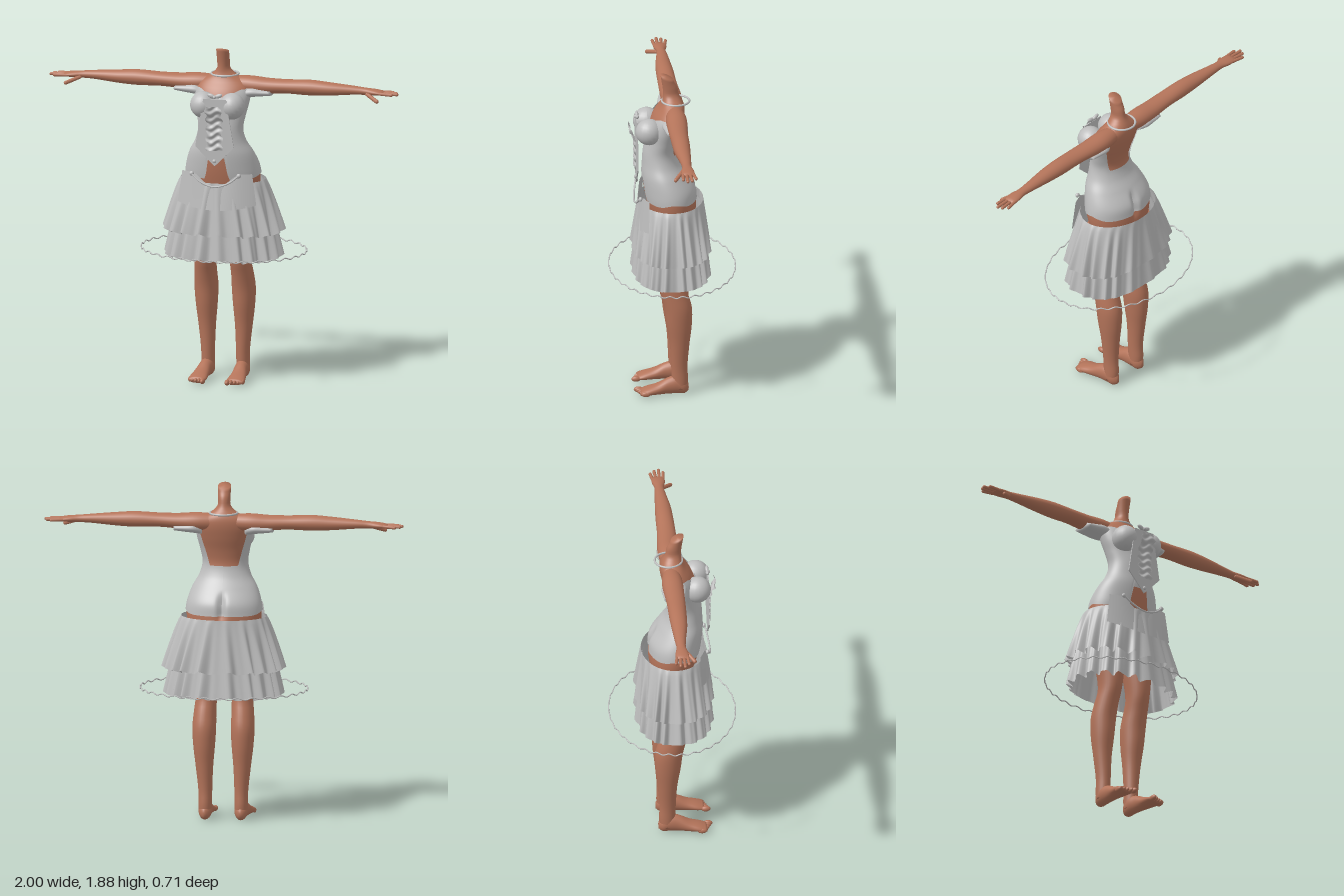
import * as THREE from 'three';

const skin = new THREE.MeshStandardMaterial({ color: 0xb4745a });
skin.name = 'skin';
const cloth = new THREE.MeshStandardMaterial({ color: 0xbebebe, side: THREE.DoubleSide });
cloth.name = 'grey cloth';

const smooth = THREE.MathUtils.smoothstep;
const lerp = THREE.MathUtils.lerp;
const PI = Math.PI;

// Smooth interpolation through rows of [t, a, b, ...]
function profile(rows) {
  const n = rows[0].length - 1;
  const curve = new THREE.CubicInterpolant(rows.map(r => r[0]), rows.flatMap(r => r.slice(1)), n, new Float32Array(n));
  return t => Array.from(curve.evaluate(t));
}

// Surface from point(u, v); u may wrap around
function grid(point, nu, nv, wrap = false) {
  const pos = [], index = [], cols = wrap ? nu : nu + 1;
  for (let j = 0; j <= nv; j++)
    for (let i = 0; i < cols; i++) pos.push(...point(i / nu, j / nv));
  for (let j = 0; j < nv; j++)
    for (let i = 0; i < nu; i++) {
      const a = j * cols + i, b = j * cols + (i + 1) % cols;
      index.push(a, b, b + cols, a, b + cols, a + cols);
    }
  const g = new THREE.BufferGeometry();
  g.setAttribute('position', new THREE.Float32BufferAttribute(pos, 3));
  g.setIndex(index);
  g.computeVertexNormals();
  return g;
}

// Closed elliptical loft along an axis; rows are [t, c1, c2, r1, r2] on the next two axes in cyclic order
function loft(rows, axis, nu = 24, nv = 30) {
  const f = profile(rows), t0 = rows[0][0], t1 = rows[rows.length - 1][0];
  return grid((u, v) => {
    const j = Math.round(v * (nv + 2)), k = Math.min(Math.max(j - 1, 0), nv) / nv;
    const s = j === 0 || j === nv + 2 ? 0 : 1;
    const t = lerp(t0, t1, k), [c1, c2, r1, r2] = f(t), p = [0, 0, 0];
    p[axis] = t;
    p[(axis + 1) % 3] = c1 + s * r1 * Math.cos(u * 2 * PI);
    p[(axis + 2) % 3] = c2 + s * r2 * Math.sin(u * 2 * PI);
    return p;
  }, nu, nv + 2, true);
}

function mirrored(geometry) {
  const g = geometry.clone().scale(-1, 1, 1), idx = g.index.array;
  for (let i = 0; i < idx.length; i += 3) [idx[i], idx[i + 1]] = [idx[i + 1], idx[i]];
  g.computeVertexNormals();
  return g;
}

function ellipsoid(x, y, z, rx, ry, rz) {
  return new THREE.SphereGeometry(1, 20, 14).scale(rx, ry, rz).translate(x, y, z);
}

// Tapered rounded finger between two points
function finger(a, b, r) {
  const A = new THREE.Vector3(...a), B = new THREE.Vector3(...b), d = B.clone().sub(A);
  const g = new THREE.CapsuleGeometry(r, d.length() - 2 * r, 4, 10);
  g.applyQuaternion(new THREE.Quaternion().setFromUnitVectors(new THREE.Vector3(0, 1, 0), d.normalize()));
  return g.translate(...A.add(B).multiplyScalar(0.5).toArray());
}

// Torso rows: height, half width, front z, back z
const torsoAt = profile([
  [0.98, 0.17, 0.09, -0.10], [1.08, 0.20, 0.13, -0.13], [1.16, 0.208, 0.148, -0.13],
  [1.22, 0.20, 0.157, -0.122], [1.30, 0.172, 0.163, -0.072], [1.36, 0.138, 0.16, -0.035],
  [1.43, 0.12, 0.155, -0.017], [1.50, 0.13, 0.14, -0.027], [1.58, 0.148, 0.13, -0.052],
  [1.65, 0.152, 0.10, -0.068], [1.69, 0.13, 0.07, -0.068], [1.72, 0.075, 0.055, -0.058],
  [1.755, 0.038, 0.05, -0.04], [1.80, 0.035, 0.052, -0.03], [1.865, 0.036, 0.065, -0.006],
]);
function torso(theta, y, off = 0) {
  const [rx, f, b] = torsoAt(y), s = Math.sin(theta), c = Math.cos(theta);
  const x = (rx + off) * s;
  let z = (f + b) / 2 + ((f - b) / 2 + off) * c;
  // cleft at the lower back
  if (c < 0) z += 0.025 * Math.exp(-((x / 0.02) ** 2)) * smooth(y, 1.1, 1.17) * (1 - smooth(y, 1.22, 1.3));
  return [x, y + (y > 1.8 ? (z - 0.03) * 0.4 * smooth(y, 1.8, 1.865) : 0), z];
}

// Skirt ring: ellipse with squared-off sides at the hem and growing pleats
function skirtPoint(theta, v, y0, y1, top, hem, amp) {
  const rx = lerp(top[0], hem[0], v ** 0.8), rz = lerp(top[1], hem[1], v);
  const e = lerp(1, 0.82, v), s = Math.sin(theta), c = Math.cos(theta);
  const wave = Math.sin(20 * theta + 1.3 * Math.sin(3 * theta)) + 0.4 * Math.sin(33 * theta + 1);
  const k = 1 + amp * v ** 0.7 * wave;
  return [rx * k * Math.sign(s) * Math.abs(s) ** e, lerp(y0, y1, v) + 0.008 * v * wave,
    0.008 + rz * k * Math.sign(c) * Math.abs(c) ** e];
}

export function createModel() {
  const model = new THREE.Group();
  const add = (name, geometry, material, parent = model) => {
    const m = new THREE.Mesh(geometry, material);
    m.name = name;
    parent.add(m);
    return m;
  };
  const pair = (name, geometry, material) => {
    add('left' + name, geometry, material);
    add('right' + name, mirrored(geometry), material);
  };

  // Body
  add('torso', grid((u, v) => {
    if (v === 1) return [0, 1.867, 0.03];
    return torso(u * 2 * PI, lerp(0.98, 1.865, Math.min(1, v * 61 / 60)));
  }, 64, 61, true), skin);
  pair('Arm', loft([
    [0.05, 1.668, -0.01, 0.045, 0.045], [0.15, 1.668, -0.01, 0.05, 0.058], [0.25, 1.668, -0.008, 0.043, 0.056],
    [0.35, 1.671, -0.005, 0.039, 0.052], [0.5, 1.672, -0.005, 0.043, 0.049], [0.6, 1.671, -0.005, 0.037, 0.044],
    [0.75, 1.671, -0.01, 0.024, 0.03], [0.81, 1.669, -0.01, 0.02, 0.026], [0.86, 1.667, -0.01, 0.018, 0.036],
    [0.9, 1.665, -0.01, 0.013, 0.037], [0.915, 1.664, -0.01, 0.009, 0.034],
  ], 0, 24, 44), skin);
  [[0.965, -0.05], [0.99, -0.026], [1.0, 0], [0.975, 0.024]].forEach(([x, z], i) =>
    pair('Finger' + (i + 1), finger([0.88, 1.665, -0.037 + i * 0.018], [x, 1.662, z], 0.009), skin));
  pair('Thumb', finger([0.815, 1.66, 0.005], [0.9, 1.626, 0.065], 0.011), skin);
  pair('Leg', loft([
    [0.03, -0.035, 0.1, 0.04, 0.036], [0.08, -0.035, 0.1, 0.045, 0.037], [0.15, -0.032, 0.1, 0.045, 0.038],
    [0.3, -0.033, 0.105, 0.055, 0.049], [0.42, -0.03, 0.107, 0.071, 0.061], [0.52, -0.023, 0.107, 0.077, 0.066],
    [0.6, -0.002, 0.105, 0.076, 0.062], [0.68, 0.023, 0.1, 0.075, 0.06], [0.85, 0.02, 0.098, 0.09, 0.08],
    [1.05, 0.005, 0.1, 0.11, 0.097],
  ], 1, 28, 44), skin);
  pair('Foot', loft([
    [-0.083, 0.1, 0.035, 0.012, 0.02], [-0.065, 0.1, 0.04, 0.03, 0.04], [-0.02, 0.1, 0.052, 0.038, 0.052],
    [0.03, 0.103, 0.047, 0.038, 0.047], [0.09, 0.107, 0.032, 0.044, 0.032], [0.15, 0.109, 0.022, 0.05, 0.022],
    [0.185, 0.109, 0.016, 0.045, 0.014],
  ], 2, 24, 24), skin);
  for (let i = 0; i < 5; i++)
    pair('Toe' + (i + 1), ellipsoid(0.071 + i * 0.02, 0.016, 0.193 - i * 0.009, i ? 0.01 : 0.014, i ? 0.014 : 0.016, 0.026), skin);

  // Backless bodice with an open notch at the lower front
  add('bodice', grid((u, v) => {
    const theta = (u - 0.5) * 2 * PI, a = Math.abs(theta);
    const top = lerp(lerp(1.615, 1.655, smooth(a, 0.1, 0.9)), 1.42, smooth(a, 2.05, 2.5));
    const bottom = lerp(1.28, 1.155, smooth(a, 0.24, 0.32)) + 0.02 * Math.exp(-(((a - 1.6) / 0.4) ** 2));
    return torso(theta, lerp(bottom, top, v), 0.007);
  }, 128, 40), cloth);
  pair('Cup', ellipsoid(0.083, 1.572, 0.135, 0.072, 0.074, 0.075), cloth);
  pair('OffShoulderSleeve', loft([
    [0.12, 1.625, 0.01, 0.03, 0.055], [0.16, 1.635, 0, 0.033, 0.07],
    [0.22, 1.635, -0.004, 0.026, 0.064], [0.275, 1.634, -0.006, 0.018, 0.056],
  ], 0, 24, 12), cloth);

  // Pointed corset front with a ruffled centre
  const panel = new THREE.Shape([[-0.065, 1.62], [-0.11, 1.35], [0, 1.24], [0.11, 1.35], [0.065, 1.62]]
    .map(p => new THREE.Vector2(...p)));
  add('corsetPanel', new THREE.ExtrudeGeometry(panel, { depth: 0.006, bevelEnabled: false }).translate(0, 0, 0.195), cloth);
  add('centreRuffle', grid((u, v) => [
    (u - 0.5) * (0.09 + 0.012 * Math.sin(v * 30)),
    lerp(1.33, 1.585, v),
    0.208 + 0.03 * smooth(v, 0.6, 0.95) + 0.005 * Math.sin(v * 38 + 2 * Math.sin(u * 6)),
  ], 12, 50), cloth);
  add('corsetButton', ellipsoid(0, 1.27, 0.204, 0.011, 0.011, 0.007), cloth);
  pair('BowLoop', ellipsoid(0, 0, 0, 0.024, 0.012, 0.01).rotateZ(0.35).translate(0.02, 1.638, 0.195), cloth);
  add('bowKnot', ellipsoid(0, 1.632, 0.2, 0.009, 0.01, 0.012), cloth);

  // Two pleated skirt tiers
  add('upperSkirt', grid((u, v) =>
    skirtPoint(u * 2 * PI, 1 - v, 1.14, 0.845, [0.238, 0.18], [0.325, 0.208], 0.055), 240, 20, true), cloth);
  add('lowerSkirt', grid((u, v) =>
    skirtPoint(u * 2 * PI + 0.1, 1 - v, 1.1, 0.7, [0.23, 0.17], [0.318, 0.208], 0.05), 240, 20, true), cloth);

  // Scooped apron with a hanging chain
  add('apron', grid((u, v) => {
    const a = (u - 0.5) * 2, x = a * lerp(0.225, 0.2, v);
    const top = lerp(1.125, 1.195, smooth(Math.abs(a), 0.1, 0.72));
    const y = lerp(0.99 + 0.03 * a * a, top, v);
    return [x, y, 0.018 + 0.188 * Math.sqrt(1 - (x / 0.31) ** 2) - 0.02 * v];
  }, 40, 14), cloth);
  const chain = new THREE.CatmullRomCurve3([-0.135, -0.08, 0, 0.08, 0.135].map(x =>
    new THREE.Vector3(x, 1.125 + 0.065 * (x / 0.135) ** 2, 0.02 + 0.19 * Math.sqrt(1 - (x / 0.31) ** 2))));
  add('apronChain', new THREE.TubeGeometry(chain, 40, 0.005, 8), cloth);
  pair('ChainStud', ellipsoid(0.135, 1.19, 0.187, 0.013, 0.013, 0.01), cloth);

  // Neck ring and wavy hoop around the skirt
  add('neckRing', new THREE.TorusGeometry(0.076, 0.006, 10, 48).rotateX(PI / 2).translate(0, 1.72, -0.02), cloth);
  const hoop = Array.from({ length: 160 }, (_, i) => {
    const t = i / 160 * 2 * PI;
    return new THREE.Vector3(0.466 * Math.sin(t), 0.733 + 0.006 * Math.sin(32 * t), 0.35 * Math.cos(t));
  });
  add('hoop', new THREE.TubeGeometry(new THREE.CatmullRomCurve3(hoop, true), 320, 0.0035, 6, true), cloth);
  return model;
}
